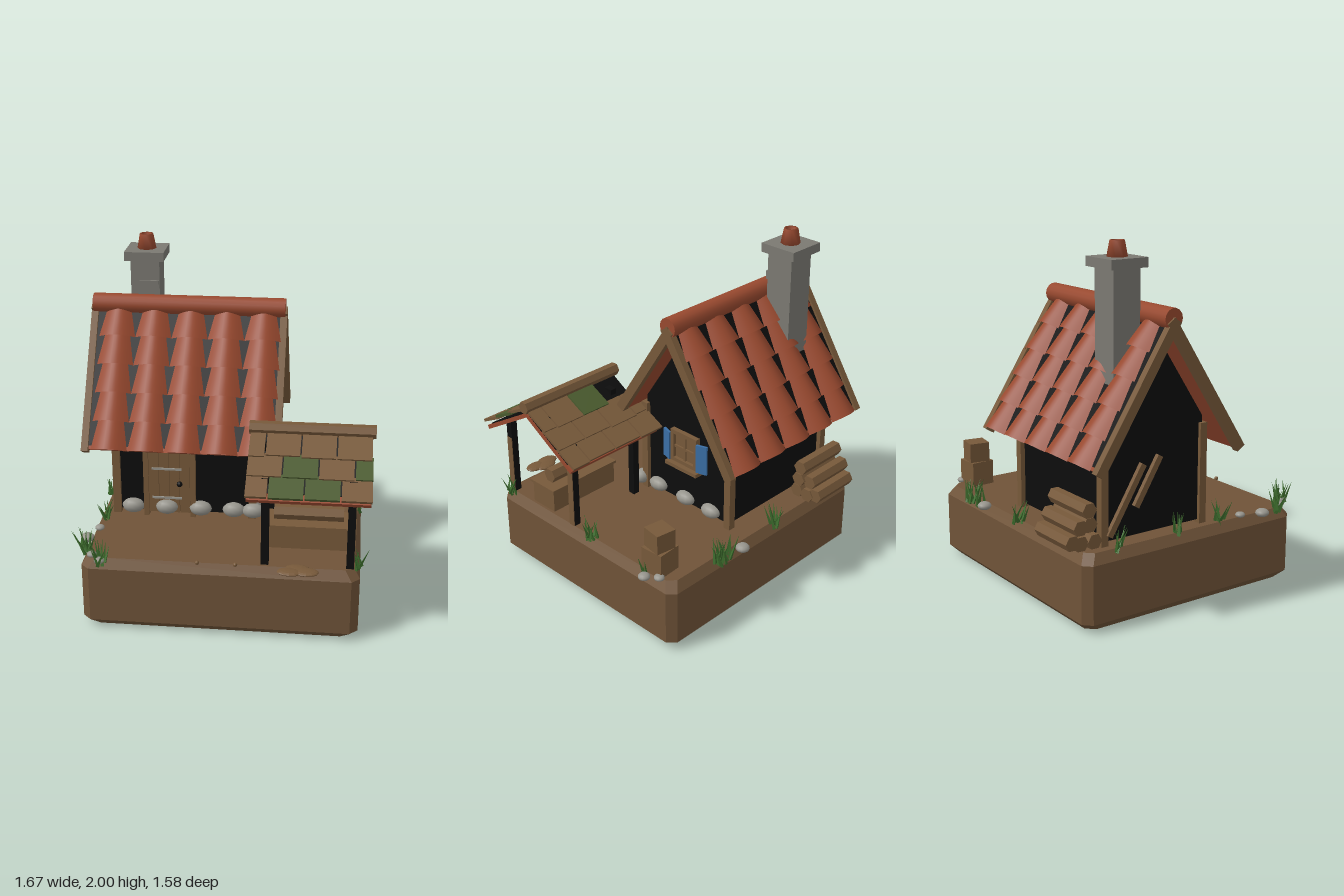
import * as THREE from 'three';
import { mergeGeometries } from 'three/addons/utils/BufferGeometryUtils.js';
import { ConvexGeometry } from 'three/addons/geometries/ConvexGeometry.js';

const mat = (name, color, flat = false, side = THREE.FrontSide) => {
  const m = new THREE.MeshStandardMaterial({ color, flatShading: flat, side });
  m.name = name;
  return m;
};
const earth = mat('earth', 0x6f5338, true);
const wood = mat('wood', 0x77593a, true);
const dark = mat('darkTimber', 0x0d0d0d, true);
const red = mat('redClay', 0x98492f, false, THREE.DoubleSide);
const grey = mat('chimneyGrey', 0x7b7972, true);
const stone = mat('stone', 0x97958d);
const blue = mat('shutterBlue', 0x3a6ea5, true);
const moss = mat('moss', 0x4a5a2e, true);
const grass = mat('grass', 0x3c6b2c, true, THREE.DoubleSide);

let seed = 7;
const rnd = () => (seed = (seed * 16807) % 2147483647) / 2147483647;

function add(parent, name, geo, material, x = 0, y = 0, z = 0) {
  const m = new THREE.Mesh(geo, material);
  m.name = name;
  m.position.set(x, y, z);
  parent.add(m);
  return m;
}
// Box given by its limits on each axis
const box = (parent, name, material, [x0, x1], [y0, y1], [z0, z1]) =>
  add(parent, name, new THREE.BoxGeometry(x1 - x0, y1 - y0, z1 - z0), material,
    (x0 + x1) / 2, (y0 + y1) / 2, (z0 + z1) / 2);
// Six-sided log lying along x
function log(parent, name, x0, x1, y, z, r) {
  const m = add(parent, name, new THREE.CylinderGeometry(r, r, x1 - x0, 6), wood, (x0 + x1) / 2, y, z);
  m.rotation.z = Math.PI / 2;
  return m;
}
// Group lying in a roof plane: local z runs down the slope, y points outwards
function slope(parent, name, x, y, z, angle, back) {
  const s = new THREE.Group();
  s.name = name;
  s.position.set(x, y, z);
  s.rotation.order = 'YXZ';
  s.rotation.set(angle, back ? Math.PI : 0, 0);
  parent.add(s);
  return s;
}

// Arched clay tile, narrow at the top and lifted at the bottom
function tile(cx, s0, s1, w) {
  const g = new THREE.PlaneGeometry(1, 1, 10, 2);
  const p = g.attributes.position;
  for (let i = 0; i < p.count; i++) {
    const u = p.getX(i), v = 0.5 - p.getY(i);
    p.setXYZ(i, cx + u * w * (0.66 + 0.34 * v),
      0.012 + 0.01 * v + Math.cos(Math.PI * u) * (0.03 + 0.02 * v), s0 + (s1 - s0) * v);
  }
  g.computeVertexNormals();
  return g;
}

function makeBase(root) {
  const pts = [];
  for (const [y, inset] of [[0, 0.05], [0.05, 0], [0.375, 0], [0.43, 0.035]]) {
    const a = 0.77 - inset, b = 0.716 - inset, c = 0.045;
    for (const sx of [-1, 1]) for (const sz of [-1, 1]) {
      pts.push(new THREE.Vector3(sx * a, y, -0.011 + sz * (b - c)));
      pts.push(new THREE.Vector3(sx * (a - c), y, -0.011 + sz * b));
    }
  }
  add(root, 'groundBlock', new ConvexGeometry(pts), earth);
}

function makeHouse(root) {
  const h = new THREE.Group();
  h.name = 'house';
  root.add(h);
  // Walls with gables
  const s = new THREE.Shape([[0.325, 0.45], [0.325, 1.04], [0, 1.535], [-0.325, 1.04], [-0.325, 0.45]]
    .map(([a, b]) => new THREE.Vector2(a, b)));
  const walls = add(h, 'walls', new THREE.ExtrudeGeometry(s, { depth: 0.8, bevelEnabled: false }), dark, -0.67, 0, -0.225);
  walls.rotation.y = Math.PI / 2;
  for (const x of [-0.69, 0.11]) for (const z of [-0.577, 0.077])
    box(h, 'cornerPost', wood, [x, x + 0.045], [0.43, 1.0], [z, z + 0.045]);

  // Door
  for (let i = 0; i < 4; i++) {
    const x = -0.475 + i * 0.061;
    box(h, 'doorPlank', wood, [x, x + 0.058], [0.45, 0.9], [0.09, 0.125]);
  }
  for (const x of [-0.505, -0.23]) box(h, 'doorFrame', wood, [x, x + 0.03], [0.43, 0.98], [0.09, 0.14]);
  for (const y of [0.545, 0.73]) box(h, 'hinge', stone, [-0.455, -0.28], [y - 0.006, y + 0.006], [0.125, 0.133]);
  add(h, 'doorKnob', new THREE.SphereGeometry(0.017, 10, 8), dark, -0.29, 0.645, 0.148);

  // Gable window with open shutters
  box(h, 'windowPanel', wood, [0.125, 0.14], [0.71, 0.9], [-0.315, -0.125]);
  for (const z of [-0.32, -0.14]) box(h, 'windowJamb', wood, [0.13, 0.16], [0.71, 0.915], [z, z + 0.022]);
  for (const y of [0.71, 0.89]) box(h, 'windowRail', wood, [0.13, 0.16], [y, y + 0.025], [-0.32, -0.118]);
  box(h, 'windowBar', wood, [0.13, 0.15], [0.71, 0.91], [-0.226, -0.212]);
  box(h, 'windowBar', wood, [0.13, 0.15], [0.8, 0.814], [-0.31, -0.13]);
  box(h, 'windowSill', wood, [0.13, 0.19], [0.69, 0.712], [-0.345, -0.1]);
  for (const [z, a] of [[-0.085, -0.3], [-0.355, 0.3]])
    add(h, 'shutter', new THREE.BoxGeometry(0.015, 0.18, 0.068), blue, 0.152, 0.8, z).rotation.y = a;

  // Planks leaning on the far gable
  for (const [z, y, len] of [[-0.42, 0.66, 0.42], [-0.28, 0.74, 0.3]])
    add(h, 'leaningPlank', new THREE.BoxGeometry(0.025, len, 0.035), wood, -0.69, y, z).rotation.x = 0.55;

  // Tiled roof, both slopes
  const A = Math.atan2(0.84, 0.545), W = 0.211;
  for (const back of [false, true]) {
    const r = slope(h, back ? 'backRoof' : 'frontRoof', -0.27, 1.6, -0.225, A, back);
    box(r, 'roofBoard', red, [-0.54, 0.54], [-0.032, 0], [0, 0.85]);
    box(r, 'roofUnderlay', dark, [-0.535, 0.535], [0, 0.004], [0.01, 0.83]);
    const tiles = [];
    for (let row = 0; row < 5; row++) for (let c = -2; c <= 2; c++) {
      const end = 0.19 + row * 0.167;
      tiles.push(tile(c * W + (back ? -0.014 : 0.014), Math.max(0.02, end - 0.2), end, W));
    }
    add(r, 'roofTiles', mergeGeometries(tiles), red);
    for (const x of [-0.57, 0.53]) box(r, 'bargeBoard', wood, [x, x + 0.04], [-0.038, 0.018], [-0.02, 0.865]);
  }
  const ridge = add(h, 'ridgeCap', new THREE.CylinderGeometry(0.056, 0.056, 1.12, 14), red, -0.27, 1.619, -0.225);
  ridge.rotation.z = Math.PI / 2;

  // Chimney
  box(h, 'chimneyShaft', grey, [-0.62, -0.452], [1.15, 1.87], [-0.45, -0.282]);
  box(h, 'chimneyCap', grey, [-0.652, -0.422], [1.863, 1.915], [-0.485, -0.255]);
  box(h, 'chimneyBrick', grey, [-0.567, -0.455], [1.695, 1.745], [-0.3, -0.268]);
  const pot = [[0, 1.915], [0.056, 1.915], [0.04, 2.0], [0.03, 2.0], [0.03, 1.96], [0, 1.96]];
  add(h, 'chimneyPot', new THREE.LatheGeometry(pot.map(([a, b]) => new THREE.Vector2(a, b)), 8), red, -0.536, 0, -0.368);
}

function makeShelter(root) {
  const g = new THREE.Group();
  g.name = 'shelter';
  root.add(g);
  for (const x of [0.227, 0.693]) for (const z of [0.08, 0.612]) {
    box(g, 'shelterPost', dark, [x, x + 0.042], [0.43, 0.95], [z, z + 0.042]);
    if (x > 0.5) box(g, 'postFacing', wood, [x + 0.042, x + 0.046], [0.43, 0.79], [z, z + 0.04]);
  }
  for (const x of [0.248, 0.714]) box(g, 'tieBeam', dark, [x - 0.02, x + 0.02], [1.02, 1.06], [0.26, 0.47]);
  log(g, 'ridgeBeam', 0.137, 0.827, 1.12, 0.365, 0.038);

  // Shingled slopes; mossy shingles are listed as row,column
  const mossy = { false: ['1,1', '1,3', '2,1', '2,2'], true: ['0,2'] };
  for (const back of [false, true]) {
    const r = slope(g, back ? 'shelterBackRoof' : 'shelterFrontRoof', 0.48, 1.09, 0.365, 0.54, back);
    box(r, 'shelterBoard', red, [-0.33, 0.33], [-0.03, -0.006], [0, 0.435]);
    box(r, 'shelterUnderlay', dark, [-0.325, 0.325], [-0.006, 0], [0, 0.39]);
    for (let row = 0; row < 3; row++) {
      const off = [-0.1, 0, -0.07][row];
      for (let c = 0; c < 4; c++) {
        const x0 = Math.max(-0.335, -0.335 + off + c * 0.193), x1 = Math.min(0.335, -0.335 + off + (c + 1) * 0.193 - 0.008);
        if (x1 - x0 < 0.03 || (back && row === 0 && c === 3)) continue;
        const m = box(r, 'shingle', mossy[back].includes(row + ',' + c) ? moss : wood,
          [x0, x1], [0.014, 0.03], [0.02 + row * 0.134, 0.182 + row * 0.134 - rnd() * 0.012]);
        m.rotation.x = -0.07;
      }
    }
  }
  // Chest and log beneath
  box(g, 'chest', wood, [0.25, 0.72], [0.43, 0.56], [0.275, 0.455]);
  box(g, 'chestLid', wood, [0.24, 0.73], [0.56, 0.575], [0.265, 0.47]);
  log(g, 'benchLog', 0.28, 0.67, 0.615, 0.365, 0.045);
}

function makeYard(root) {
  const y = new THREE.Group();
  y.name = 'yard';
  root.add(y);
  // Stacked blocks and firewood
  add(y, 'lowerBlock', new THREE.BoxGeometry(0.14, 0.145, 0.14), wood, 0.68, 0.502, -0.55).rotation.y = 0.06;
  add(y, 'upperBlock', new THREE.BoxGeometry(0.12, 0.115, 0.12), wood, 0.68, 0.632, -0.55).rotation.y = -0.15;
  for (const [z, h] of [[-0.62, 0.475], [-0.7, 0.475], [-0.755, 0.49], [-0.64, 0.565], [-0.71, 0.565], [-0.655, 0.65]])
    log(y, 'firewood', -0.71 + rnd() * 0.03, -0.36 - rnd() * 0.03, h, z, 0.044);

  // Foundation stones, then loose stones: x, y, z, rx, ry, rz
  const ball = new THREE.SphereGeometry(1, 12, 8);
  const rock = (name, m, x, h, z, a, b, c) => add(y, name, ball, m, x, h, z).scale.set(a, b, c);
  for (const x of [-0.57, -0.37, -0.17, 0.025, 0.14]) rock('foundationStone', stone, x, 0.488, 0.13, 0.066, 0.044, 0.045);
  for (const z of [0, -0.22, -0.42]) rock('foundationStone', stone, 0.14, 0.485, z, 0.045, 0.04, 0.066);
  for (const [x, z, r] of [[-0.73, 0.34, 0.028], [-0.775, 0.465, 0.04], [-0.71, 0.655, 0.028], [-0.655, 0.72, 0.03],
    [0.235, -0.75, 0.04], [0.75, -0.615, 0.03], [0.8, -0.55, 0.034]]) rock('looseStone', stone, x, 0.44, z, r, r * 0.6, r);
  for (const [x, z] of [[0.39, 0.735], [0.48, 0.73], [0.43, 0.7]]) rock('flatStone', wood, x, 0.44, z, 0.07, 0.014, 0.045);
  for (const x of [-0.12, 0.09]) rock('pebble', wood, x, 0.435, 0.68, 0.012, 0.012, 0.012);

  // Grass tufts of leaning blades
  for (const [x, z, n] of [[0.4, -0.735, 14], [0.34, -0.73, 6], [-0.07, -0.72, 7], [0.75, -0.5, 6], [0.75, -0.08, 10], [-0.76, 0.59, 12],
    [-0.64, 0.72, 10], [-0.73, -0.5, 6], [-0.74, -0.1, 7], [-0.73, 0.2, 7], [0.76, 0.62, 6]]) {
    const blades = [];
    for (let i = 0; i < n; i++) {
      const b = new THREE.ConeGeometry(0.011, 0.1 + rnd() * 0.06, 3, 1, true);
      b.translate(0, 0.06, 0);
      b.rotateX(0.1 + rnd() * 0.4);
      b.rotateY(rnd() * Math.PI * 2);
      b.translate((rnd() - 0.5) * 0.06, 0, (rnd() - 0.5) * 0.06);
      blades.push(b);
    }
    add(y, 'grassTuft', mergeGeometries(blades), grass, x, 0.425, z);
  }
}

export function createModel() {
  const root = new THREE.Group();
  root.name = 'cottage';
  makeBase(root);
  makeHouse(root);
  makeShelter(root);
  makeYard(root);
  return root;
}
